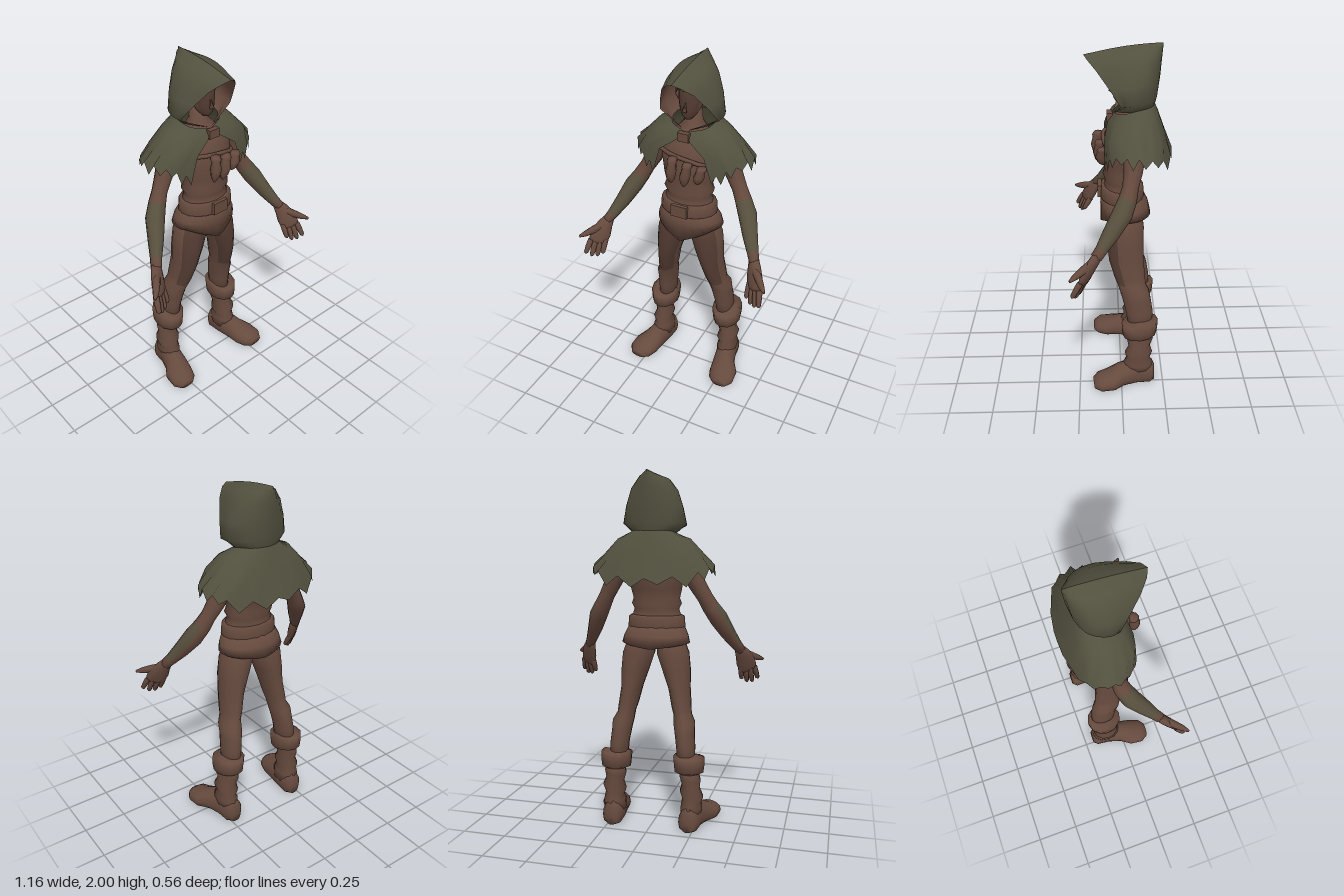
import * as THREE from 'three';

const mat = (name, color, side = THREE.FrontSide) => Object.assign(new THREE.MeshStandardMaterial({ color, side }), { name });
const V = (x, y, z) => new THREE.Vector3(x, y, z);

// Skin over elliptical rings [x, y, z, ru, rv]; flat keeps rings level, u sets the width axis,
// move shifts vertices, paint picks the second material for a face.
function loft(rings, sides, { flat = false, u = V(0, 0, 1), move, paint } = {}) {
  const c = rings.map(r => V(r[0], r[1], r[2])), n = rings.length;
  const pos = [], idx = [[], []];
  for (let i = 0; i < n; i++) {
    let t = c[Math.min(i + 1, n - 1)].clone().sub(c[Math.max(i - 1, 0)]).normalize();
    if (flat) t = V(0, Math.sign(t.y), 0);
    const ua = (flat ? V(1, 0, 0) : u.clone()).projectOnPlane(t).normalize();
    const va = t.clone().cross(ua);
    for (let j = 0; j < sides; j++) {
      const a = j / sides * Math.PI * 2;
      const p = c[i].clone().addScaledVector(ua, Math.cos(a) * rings[i][3]).addScaledVector(va, Math.sin(a) * rings[i][4]);
      if (move) move(p, i);
      pos.push(p.x, p.y, p.z);
    }
  }
  const at = k => V(pos[3 * k], pos[3 * k + 1], pos[3 * k + 2]);
  for (let i = 0; i < n - 1; i++) for (let j = 0; j < sides; j++) {
    const a = i * sides + j, b = i * sides + (j + 1) % sides;
    const dir = at(a).add(at(b)).multiplyScalar(0.5).sub(c[i]).normalize();
    idx[paint && paint(i, dir) ? 1 : 0].push(a, b, a + sides, b, b + sides, a + sides);
  }
  const s = n * sides, last = s - sides;
  for (const p of [c[0], c[n - 1]]) pos.push(p.x, p.y, p.z);
  for (let j = 0; j < sides; j++) {
    const k = (j + 1) % sides;
    idx[0].push(s, k, j, s + 1, last + j, last + k);
  }
  return surface(pos, idx);
}

function surface(pos, idx) {
  const g = new THREE.BufferGeometry();
  g.setAttribute('position', new THREE.Float32BufferAttribute(pos, 3));
  g.setIndex([...idx[0], ...idx[1]]);
  g.addGroup(0, idx[0].length, 0);
  if (idx[1].length) g.addGroup(idx[0].length, idx[1].length, 1);
  g.computeVertexNormals();
  return g;
}

// Cloth from rows of half outlines (front edge to back centre, top row first), mirrored across x.
function cloth(rows, seg, { inside = false, ragged = 0 } = {}) {
  const pos = [], idx = [], w = seg + 1;
  rows.forEach((half, i) => {
    const pts = half.map(p => V(...p));
    const full = [...pts, ...pts.slice(0, -1).reverse().map(p => V(-p.x, p.y, p.z))];
    const curve = new THREE.CatmullRomCurve3(full);
    for (let j = 0; j <= seg; j++) {
      const p = curve.getPoint(j / seg);
      if (ragged && i === rows.length - 1) p.y += (j % 2 ? 0.55 : -0.45 - 0.3 * (j % 3 - 1)) * ragged;
      pos.push(p.x, p.y, p.z);
      if (i && j) {
        const d = i * w + j, b = d - w, a = b - 1, c = d - 1;
        idx.push(...(inside ? [a, b, c, b, d, c] : [a, c, b, b, c, d]));
      }
    }
  });
  return surface(pos, [idx, []]);
}

export function createModel() {
  const root = new THREE.Group();
  const brown = mat('brown leather', 0x664a3e), dark = mat('dark brown', 0x533b32), hair = mat('hair brown', 0x3a2922);
  const olive = mat('olive cloth', 0x52503e, THREE.DoubleSide), moss = mat('mossy bracer', 0x58503e);
  const hoodOlive = mat('hood olive', 0x52503e);
  const add = (name, geo, m, x = 0, y = 0, z = 0) => {
    const o = new THREE.Mesh(geo, m);
    o.name = name;
    o.position.set(x, y, z);
    root.add(o);
    return o;
  };

  // Torso, with folds gathered at the waist
  add('torso', loft([[0, 1.16, -0.005, 0.15, 0.115], [0, 1.22, -0.01, 0.14, 0.1], [0, 1.25, -0.01, 0.13, 0.098],
    [0, 1.28, -0.01, 0.146, 0.108], [0, 1.31, -0.012, 0.135, 0.1], [0, 1.36, -0.015, 0.147, 0.111],
    [0, 1.43, -0.025, 0.16, 0.122], [0, 1.5, -0.03, 0.172, 0.12], [0, 1.56, -0.04, 0.155, 0.108],
    [0, 1.62, -0.05, 0.085, 0.08], [0, 1.66, -0.06, 0.05, 0.055], [0, 1.72, -0.06, 0.045, 0.05]], 16, { flat: true }), brown);
  // Tunic skirt, dipping to a point at the front
  add('tunicSkirt', loft([[0, 1.06, -0.028, 0.196, 0.143], [0, 1.1, -0.022, 0.186, 0.136], [0, 1.16, -0.01, 0.158, 0.118]], 24, {
    flat: true,
    move: (p, i) => {
      if (i === 0) p.y -= p.z > 0 ? 0.075 * Math.max(0, 1 - Math.abs(p.x) / 0.17) : 0.025 * Math.max(0, 1 - Math.abs(p.x) / 0.2);
    },
  }), brown);
  add('belt', loft([[0, 1.14, -0.008, 0.156, 0.116], [0, 1.15, -0.008, 0.167, 0.125], [0, 1.205, -0.008, 0.162, 0.122],
    [0, 1.215, -0.008, 0.145, 0.108]], 18, { flat: true }), brown);
  add('buckle', new THREE.BoxGeometry(0.095, 0.07, 0.022), brown, 0, 1.185, 0.117);

  // Chest strap and vials
  add('chestStrap', new THREE.TubeGeometry(new THREE.CatmullRomCurve3([V(-0.15, 1.5, 0.03), V(-0.06, 1.505, 0.084),
    V(0.04, 1.495, 0.092), V(0.12, 1.47, 0.062), V(0.17, 1.45, 0)]), 16, 0.013, 6), brown);
  [[-0.035, 1.51, -0.045, 1.36], [0.048, 1.49, 0.025, 1.345], [0.125, 1.475, 0.1, 1.37]].forEach(([x, y, bx, by], i) => {
    const z = 0.12 - 0.012 * i;
    const p = (k, r) => [x + (bx - x) * k, y + (by - y) * k, z + 0.01 * Math.sin(k * 3), r, r];
    add('vial', loft([p(0, 0.024), p(0.12, 0.03), p(0.2, 0.024), p(0.5, 0.031), p(0.8, 0.023), p(1, 0.006)], 8, { flat: true }), brown);
  });

  // Head, hair and nose
  add('head', loft([[0, 1.695, 0, 0.02, 0.025], [0, 1.715, -0.005, 0.038, 0.043], [0, 1.75, -0.025, 0.057, 0.066],
    [0, 1.8, -0.05, 0.073, 0.09], [0, 1.86, -0.055, 0.074, 0.092], [0, 1.905, -0.06, 0.058, 0.07], [0, 1.925, -0.06, 0.02, 0.03]],
    14, { flat: true, paint: (i, d) => d.z > 0.5 }), [brown, dark]);
  const nose = add('nose', new THREE.ConeGeometry(0.014, 0.06, 5), dark, 0, 1.775, 0.042);
  nose.rotation.x = -0.25;
  for (let i = 0; i < 6; i++) {
    const lock = add('hairLock', new THREE.ConeGeometry(0.02, 0.07 + 0.02 * (i % 2), 5), hair,
      -0.06 + i * 0.024, 1.855, 0.035 - Math.abs(i - 2.5) * 0.014);
    lock.rotation.z = Math.PI + (i - 2) * 0.18;
  }

  // Hood and its lining
  const hood = [
    [[0, 1.942, 0.19], [0, 1.98, 0], [0, 1.997, -0.15], [0, 2, -0.22]],
    [[0.04, 1.925, 0.172], [0.078, 1.958, -0.02], [0.06, 1.968, -0.15], [0, 1.98, -0.22]],
    [[0.09, 1.88, 0.125], [0.126, 1.9, -0.04], [0.1, 1.91, -0.15], [0, 1.92, -0.215]],
    [[0.138, 1.79, 0.055], [0.158, 1.81, -0.06], [0.122, 1.82, -0.15], [0, 1.83, -0.208]],
    [[0.17, 1.71, 0], [0.178, 1.72, -0.06], [0.13, 1.725, -0.15], [0, 1.73, -0.195]],
    [[0.015, 1.64, 0.035], [0.115, 1.665, -0.04], [0.09, 1.68, -0.15], [0, 1.68, -0.182]],
  ];
  add('hood', cloth(hood, 20), hoodOlive);
  add('hoodLining', cloth(hood, 20, { inside: true }), brown);
  // Shoulder cape with a ragged hem
  add('cape', cloth([
    [[0.01, 1.635, 0.04], [0.095, 1.65, 0], [0.122, 1.67, -0.06], [0.09, 1.685, -0.15], [0, 1.685, -0.182]],
    [[0.04, 1.59, 0.07], [0.16, 1.62, 0.03], [0.205, 1.64, -0.07], [0.155, 1.63, -0.17], [0, 1.63, -0.205]],
    [[0.13, 1.525, 0.088], [0.23, 1.55, 0.055], [0.28, 1.56, -0.07], [0.23, 1.54, -0.195], [0, 1.53, -0.24]],
    [[0.175, 1.395, 0.088], [0.275, 1.45, 0.045], [0.345, 1.475, -0.07], [0.29, 1.44, -0.205], [0, 1.405, -0.28]],
  ], 34, { ragged: 0.05 }), olive);
  add('clasp', new THREE.BoxGeometry(0.065, 0.048, 0.03), brown, 0, 1.61, 0.058);

  // Limbs, one pass per side
  for (const [s, side] of [[1, 'left'], [-1, 'right']]) {
    const m = rings => rings.map(([x, ...r]) => [x * s, ...r]);
    const limb = (name, rings, sides, mats, opts) => add(side + name, loft(m(rings), sides, opts), mats);

    limb('Ear', [[0.06, 1.79, -0.03, 0.012, 0.022], [0.08, 1.81, -0.035, 0.01, 0.02], [0.1, 1.84, -0.05, 0.003, 0.004]], 6, brown);

    limb('Arm', [[0.15, 1.54, -0.06, 0.06, 0.06], [0.2, 1.49, -0.07, 0.062, 0.06], [0.245, 1.39, -0.06, 0.05, 0.048],
      [0.285, 1.32, -0.045, 0.043, 0.043], [0.315, 1.265, -0.03, 0.049, 0.047], [0.355, 1.2, 0, 0.055, 0.052],
      [0.4, 1.11, 0.06, 0.045, 0.042], [0.44, 1.04, 0.11, 0.033, 0.032], [0.462, 1.005, 0.138, 0.031, 0.028]],
      10, [brown, moss], { paint: (i, d) => i > 3 && i < 7 && (d.z > 0.2 || d.x * s > 0.5) });
    // Hand, palm turned forward
    const across = { u: V(0.8 * s, 0, 0.5) };
    limb('Palm', [[0.452, 1.02, 0.125, 0.028, 0.025], [0.468, 0.985, 0.15, 0.042, 0.027], [0.483, 0.94, 0.178, 0.057, 0.026],
      [0.495, 0.895, 0.2, 0.055, 0.02], [0.498, 0.875, 0.21, 0.048, 0.014]], 10, brown, across);
    for (const t of [-1, -0.33, 0.33, 1]) {
      const len = 0.1 - 0.022 * t * t;
      limb('Finger', [0, 0.5, 0.9, 1].map((k, i) => {
        const r = [0.017, 0.0165, 0.013, 0.005][i];
        return [0.495 + 0.037 * t + k * (0.008 + 0.008 * t), 0.895 - len * k, 0.2 + 0.022 * t + 0.045 * k, r, r];
      }), 6, brown, across);
    }
    limb('Thumb', [[0.472, 0.985, 0.155, 0.022, 0.022], [0.515, 0.962, 0.205, 0.023, 0.022], [0.55, 0.945, 0.247, 0.017, 0.017],
      [0.576, 0.934, 0.274, 0.007, 0.007]], 7, brown, { u: V(0, 1, 0) });

    // Trousers, darker down the front of the thigh
    limb('TrouserLeg', [[0.2, 0.38, -0.11, 0.05, 0.07], [0.195, 0.48, -0.105, 0.053, 0.08], [0.185, 0.56, -0.09, 0.056, 0.083],
      [0.18, 0.61, -0.078, 0.061, 0.084], [0.166, 0.655, -0.06, 0.05, 0.082], [0.157, 0.7, -0.05, 0.055, 0.09],
      [0.14, 0.8, -0.03, 0.061, 0.1], [0.122, 0.9, -0.025, 0.08, 0.105], [0.1, 1, -0.025, 0.093, 0.106],
      [0.085, 1.1, -0.025, 0.07, 0.09]], 14, [brown, dark], { flat: true, paint: (i, d) => i > 3 && d.z > 0.5 });

    // Slouched boot with a turned cuff
    limb('BootShaft', [[0.225, 0.07, -0.1, 0.058, 0.09], [0.23, 0.13, -0.1, 0.062, 0.09], [0.23, 0.165, -0.1, 0.053, 0.07],
      [0.23, 0.205, -0.102, 0.067, 0.082], [0.226, 0.25, -0.106, 0.051, 0.064], [0.222, 0.3, -0.11, 0.061, 0.077],
      [0.217, 0.35, -0.11, 0.052, 0.07]], 12, brown, { flat: true, move: (p, i) => { if (i > 1) p.y += (p.x - 0.225 * s) * 0.3; } });
    limb('BootCuff', [[0.216, 0.325, -0.11, 0.06, 0.078], [0.216, 0.335, -0.108, 0.083, 0.1], [0.216, 0.375, -0.108, 0.088, 0.104],
      [0.214, 0.42, -0.108, 0.09, 0.106], [0.212, 0.435, -0.108, 0.076, 0.094], [0.21, 0.42, -0.108, 0.055, 0.08]],
      12, brown, { flat: true, move: p => { p.y -= (p.z + 0.108) * 0.12; } });
    limb('Foot', [[0.225, 0.05, -0.198, 0.035, 0.055], [0.225, 0.05, -0.175, 0.056, 0.09], [0.23, 0.06, -0.09, 0.062, 0.095],
      [0.25, 0.05, 0, 0.068, 0.078], [0.275, 0.035, 0.065, 0.085, 0.06], [0.288, 0.03, 0.13, 0.076, 0.05],
      [0.29, 0.025, 0.165, 0.045, 0.028]], 14, brown, { u: V(1, 0, 0), move: p => { p.y = Math.max(0, p.y); } });
  }
  return root;
}
